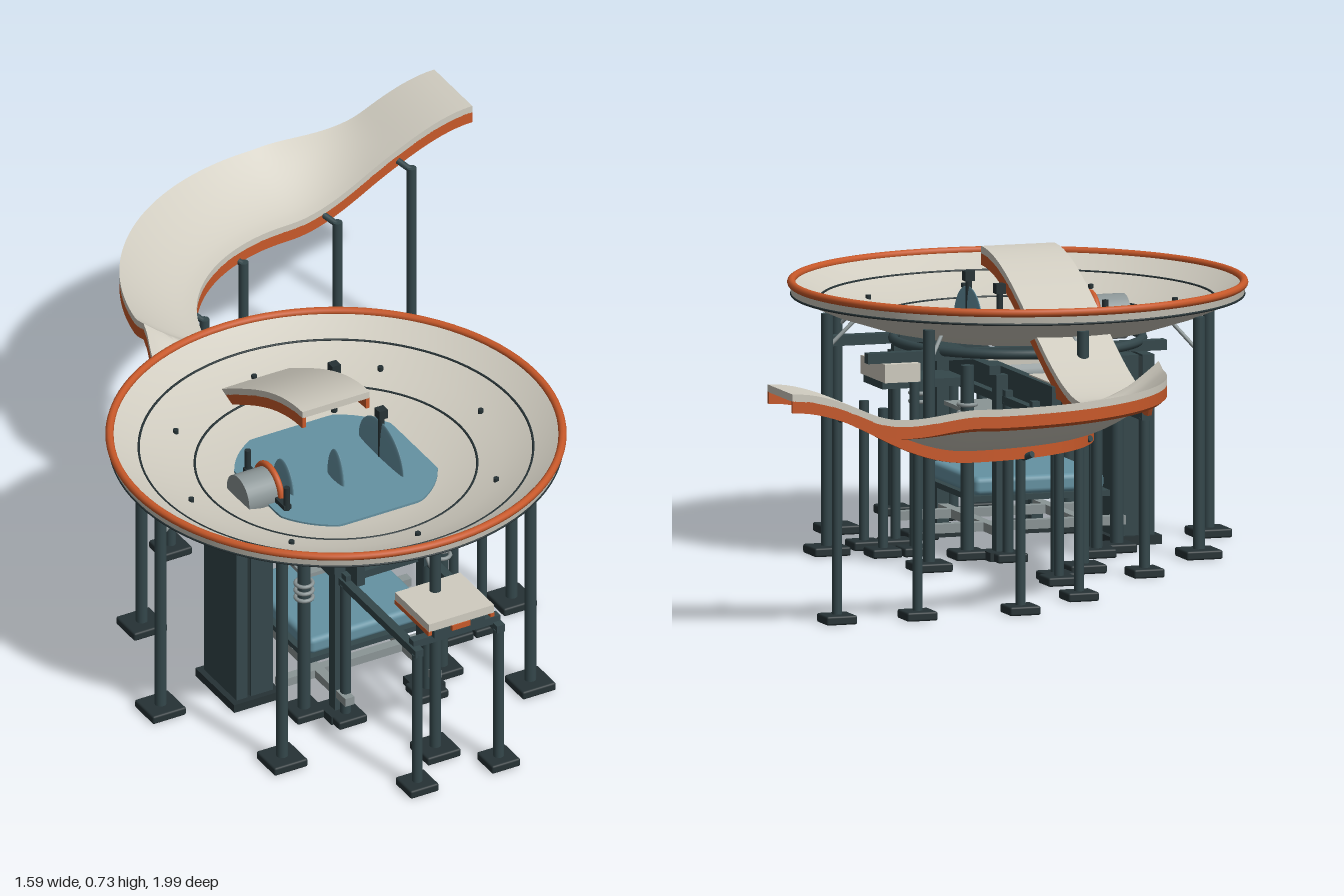
import * as THREE from 'three';
import { toCreasedNormals } from 'three/addons/utils/BufferGeometryUtils.js';
import { RoundedBoxGeometry } from 'three/addons/geometries/RoundedBoxGeometry.js';

const CX = -0.24, CZ = 0.35; // bowl centre

export function createModel() {
  const model = new THREE.Group();
  const mat = color => new THREE.MeshStandardMaterial({ color });
  const cream = mat(0xd0ccc0), orange = mat(0xc8592a), steel = mat(0x34474b);
  const black = mat(0x263235), blue = mat(0x6592a2), grey = mat(0x8b9596);

  const add = (name, geometry, material, x = 0, y = 0, z = 0, parent = model) => {
    const mesh = new THREE.Mesh(geometry, material);
    mesh.name = name;
    mesh.position.set(x, y, z);
    parent.add(mesh);
    return mesh;
  };
  const box = (name, m, x, y, z, w, h, d) => add(name, new THREE.BoxGeometry(w, h, d), m, x, y, z);
  const rod = (name, m, a, b, r) => {
    const p = new THREE.Vector3(...a), q = new THREE.Vector3(...b), d = q.clone().sub(p);
    const mesh = add(name, new THREE.CylinderGeometry(r, r, d.length(), 12), m);
    mesh.position.copy(p).add(q).multiplyScalar(0.5);
    mesh.quaternion.setFromUnitVectors(new THREE.Vector3(0, 1, 0), d.normalize());
  };
  // round post standing on a square foot plate
  const post = (name, x, z, top, r = 0.014, pad = 0.084) => {
    const g = new THREE.Group();
    g.name = name;
    model.add(g);
    add('footPlate', new RoundedBoxGeometry(pad, 0.022, pad, 2, 0.005), black, x, 0.011, z, g);
    add('post', new THREE.CylinderGeometry(r, r, top - 0.02, 16), steel, x, (top + 0.02) / 2, z, g);
  };

  // bowl
  const lathe = pts => toCreasedNormals(new THREE.LatheGeometry(pts.map(p => new THREE.Vector2(...p)), 96), 0.5);
  add('bowl', lathe([[0, 0.515], [0.24, 0.517], [0.35, 0.54], [0.46, 0.575], [0.545, 0.612], [0.55, 0.638],
    [0.538, 0.638], [0.475, 0.602], [0.4, 0.574], [0.34, 0.556], [0.24, 0.531], [0, 0.531]]), cream, CX, 0, CZ);
  const ring = (name, r, tube, y, m) =>
    add(name, new THREE.TorusGeometry(r, tube, 10, 96).rotateX(Math.PI / 2), m, CX, y, CZ);
  ring('bowlRim', 0.545, 0.01, 0.64, orange);
  ring('outerSeam', 0.475, 0.003, 0.602, black);
  ring('innerSeam', 0.34, 0.003, 0.556, black);
  ring('undersideSeam', 0.545, 0.003, 0.612, black);
  ring('supportRing', 0.3, 0.012, 0.505, steel);

  // eight bowl posts, braces and studs
  for (let i = 0; i < 8; i++) {
    const a = i * Math.PI / 4, c = Math.cos(a), s = Math.sin(a);
    const at = (r, y) => [CX + c * r, y, CZ + s * r];
    post('bowlPost', CX + c * 0.485, CZ + s * 0.485, 0.585, 0.0145, 0.092);
    rod('bowlBrace', grey, at(0.485, 0.5), at(0.415, 0.565), 0.005);
    rod('bowlStud', black, at(0.4, 0.57), at(0.4, 0.583), 0.007);
  }

  // pool floor: disc trimmed to a square
  const pool = new THREE.Shape();
  for (let i = 0; i < 64; i++) {
    const a = i * Math.PI / 32, clip = v => THREE.MathUtils.clamp(v * 0.245, -0.217, 0.217);
    pool[i ? 'lineTo' : 'moveTo'](clip(Math.cos(a)), clip(Math.sin(a)));
  }
  add('poolFloor', new THREE.ExtrudeGeometry(pool, { depth: 0.012, bevelEnabled: false }).rotateX(-Math.PI / 2),
    blue, CX, 0.525, CZ);

  // thin rounded fins in the pool: [x, z, width, height]
  for (const [x, z, w, h] of [[-0.385, 0.35, 0.1, 0.075], [-0.26, 0.385, 0.08, 0.085], [-0.115, 0.35, 0.22, 0.1]]) {
    const dome = new THREE.SphereGeometry(1, 28, 12, 0, Math.PI * 2, 0, Math.PI / 2);
    add('fin', dome.scale(0.007, h, w / 2), blue, x, 0.535, z);
  }

  // wheel unit at the pool edge
  const wheelDrum = add('wheelDrum', new THREE.CylinderGeometry(0.055, 0.055, 0.085, 32), grey, -0.468, 0.545, CZ);
  wheelDrum.rotation.z = Math.PI / 2;
  const wheelRing = add('wheelRing', new THREE.TorusGeometry(0.06, 0.008, 10, 40), orange, -0.425, 0.545, CZ);
  wheelRing.rotation.y = Math.PI / 2;
  for (const s of [-1, 1]) {
    rod('wheelStand', black, [-0.43, 0.48, CZ + s * 0.095], [-0.43, 0.6, CZ + s * 0.095], 0.008);
    box('wheelArm', black, -0.43, 0.545, CZ + s * 0.075, 0.02, 0.012, 0.05);
  }
  for (const z of [0.12, 0.35]) {
    rod('slideProp', black, [-0.115, 0.535, z], [-0.115, 0.67, z], 0.008);
    box('propHead', black, -0.115, 0.66, z, 0.024, 0.024, 0.024);
  }

  // slide centreline: drop, banked bend, final rise
  const smooth = THREE.MathUtils.smoothstep, half = 0.093;
  const bankIn = z => 1 - smooth(z, -0.425, -0.365);
  const stations = [];
  for (let i = 0; i <= 40; i++) {
    const z = CZ - 0.74 * i / 40;
    stations.push([CX, 0.445 + 0.282 * smooth(z, -0.39, 0.35), z, bankIn(z)]);
  }
  for (let i = 1; i <= 50; i++) {
    const t = i / 50, a = t * Math.PI / 2, z = -0.39 - 0.505 * Math.sin(a);
    stations.push([0.28 - 0.52 * Math.cos(a), 0.445 - 0.025 * smooth(t, 0, 0.1), z, bankIn(z)]);
  }
  for (let i = 1; i <= 24; i++) {
    const t = i / 24;
    stations.push([0.28 + 0.515 * t, 0.42 + 0.17 * smooth(t, 0, 1), -0.895 - 0.012 * smooth(t, 0, 0.5),
      1 - smooth(t, 0.04, 0.62)]);
  }
  // sweep a band between lateral offsets u0..u1 and heights v0..v1
  const band = (name, m, u0, u1, v0, v1, steps) => {
    const pos = [], index = [], n = 2 * (steps + 1);
    stations.forEach(([x, y, z, bank], i) => {
      const p = stations[Math.max(i - 1, 0)], q = stations[Math.min(i + 1, stations.length - 1)];
      const len = Math.hypot(q[0] - p[0], q[2] - p[2]);
      const lx = (q[2] - p[2]) / len, lz = -(q[0] - p[0]) / len;
      for (let j = 0; j < n; j++) {
        const bottom = j <= steps, k = bottom ? j : n - 1 - j, u = u0 + (u1 - u0) * k / steps;
        const lift = bank * 0.108 * Math.pow(THREE.MathUtils.clamp((u + half) / (2 * half), 0, 1), 1.5);
        pos.push(x + lx * u, y + lift + (bottom ? v0 : v1), z + lz * u);
        if (i) {
          const a = (i - 1) * n + j, b = (i - 1) * n + (j + 1) % n;
          index.push(a, b, a + n, b, b + n, a + n);
        }
      }
    });
    const end = (stations.length - 1) * n;
    for (let j = 0; j < steps; j++) {
      const a = j, b = j + 1, c = n - 2 - j, d = n - 1 - j;
      index.push(a, c, b, a, d, c, end + a, end + b, end + c, end + a, end + c, end + d);
    }
    const g = new THREE.BufferGeometry();
    g.setAttribute('position', new THREE.Float32BufferAttribute(pos, 3));
    g.setIndex(index);
    add(name, toCreasedNormals(g, 0.6), m);
  };
  band('slideDeck', cream, -half, half, -0.014, 0.004, 10);
  band('slideInnerSkirt', orange, -half, 0.01 - half, -0.042, -0.013, 1);
  band('slideOuterSkirt', orange, half - 0.01, half, -0.042, -0.013, 1);

  // slide posts
  for (const [x, z, top] of [[-0.115, -0.32, 0.43], [-0.075, -0.585, 0.39], [0.135, -0.765, 0.385],
    [0.4, -0.775, 0.41], [0.605, -0.775, 0.5]]) {
    post('slidePost', x, z, top, 0.012, 0.078);
    rod('slideBracket', steel, [x, top - 0.008, z], [x - 0.018, top + 0.006, z - 0.035], 0.008);
  }

  // long rails under the front and back platforms
  for (const x of [-0.355, -0.13]) {
    for (const z of [0.95, 0.6, 0.1, -0.255]) post('railPost', x, z, 0.385, 0.013, 0.078);
    box('longRail', steel, x, 0.39, 0.347, 0.022, 0.02, 1.23);
    box('upperRail', steel, x + (x < CX ? 0.02 : -0.02), 0.43, 0.22, 0.022, 0.065, 0.84);
  }
  for (const z of [0.93, 0.6, 0.1, -0.1, -0.23]) box('crossTie', steel, CX, 0.405, z, 0.24, 0.02, 0.022);
  for (const [z, d] of [[0.88, 0.165], [-0.12, 0.25]]) {
    box('platformDeck', cream, CX, 0.455, z, 0.18, 0.022, d);
    for (const s of [-1, 1]) box('platformEdge', orange, CX + s * 0.086, 0.439, z, 0.01, 0.012, d);
    box('platformFrame', steel, CX, 0.425, z, 0.14, 0.02, d * 0.9);
  }
  box('exitMarker', orange, CX, 0.435, 0.958, 0.05, 0.014, 0.01);

  // side deck
  box('sideDeck', cream, 0.085, 0.445, 0.345, 0.09, 0.045, 0.18);
  box('sideDeckFrame', steel, 0.03, 0.415, 0.345, 0.2, 0.02, 0.14);
  for (const z of [0.27, 0.41]) {
    post('sideDeckPost', 0.05, z, 0.42, 0.012, 0.075);
    post('sideDeckPost', 0.13, z, 0.36, 0.012, 0.075);
  }

  // upper beam grid carrying the bowl
  for (const o of [-0.16, 0.16]) {
    box('crossBeam', steel, CX + 0.06, 0.495, CZ + o, 0.76, 0.025, 0.028);
    box('lengthBeam', steel, CX + o, 0.472, CZ, 0.028, 0.022, 0.6);
  }
  box('centreDeck', cream, CX, 0.46, CZ, 0.2, 0.02, 0.15);
  const drum = add('centreDrum', new THREE.CylinderGeometry(0.042, 0.042, 0.18, 28), grey, CX, 0.415, CZ);
  drum.rotation.z = Math.PI / 2;
  box('lowerPlate', grey, CX, 0.338, CZ, 0.3, 0.01, 0.22);

  // corner columns with ring-stacked dampers
  for (const sx of [-1, 1]) for (const sz of [-1, 1]) {
    const x = CX + sx * 0.19, z = CZ + sz * 0.18;
    post('cornerColumn', x, z, 0.47, 0.016, 0.08);
    for (let k = 0; k < 3; k++)
      add('damperRing', new THREE.TorusGeometry(0.021, 0.005, 8, 20).rotateX(Math.PI / 2), grey, x, 0.335 + k * 0.02, z);
    box('innerColumn', steel, CX + sx * 0.12, 0.23, CZ + sz * 0.22, 0.03, 0.44, 0.03);
    box('innerColumnFoot', black, CX + sx * 0.12, 0.011, CZ + sz * 0.22, 0.075, 0.022, 0.075);
  }

  // lower tank and ground beams
  add('lowerTank', new RoundedBoxGeometry(0.33, 0.045, 0.33, 3, 0.014), blue, CX, 0.17, CZ);
  box('tankTray', steel, CX, 0.142, CZ, 0.35, 0.014, 0.35);
  for (const o of [-0.12, 0.12]) {
    box('groundBeam', grey, CX + 0.02, 0.068, CZ + o, 0.5, 0.022, 0.025);
    box('groundCrossBeam', grey, CX + o, 0.068, CZ + 0.03, 0.025, 0.022, 0.5);
  }

  // control cabinet
  for (const [x, w] of [[-0.545, 0.03], [-0.49, 0.06]]) box('cabinet', steel, x, 0.24, CZ, w, 0.44, 0.16);
  box('cabinetSeam', black, -0.525, 0.24, CZ, 0.012, 0.43, 0.15);
  box('cabinetBase', black, -0.51, 0.011, CZ, 0.13, 0.022, 0.19);

  return model;
}
